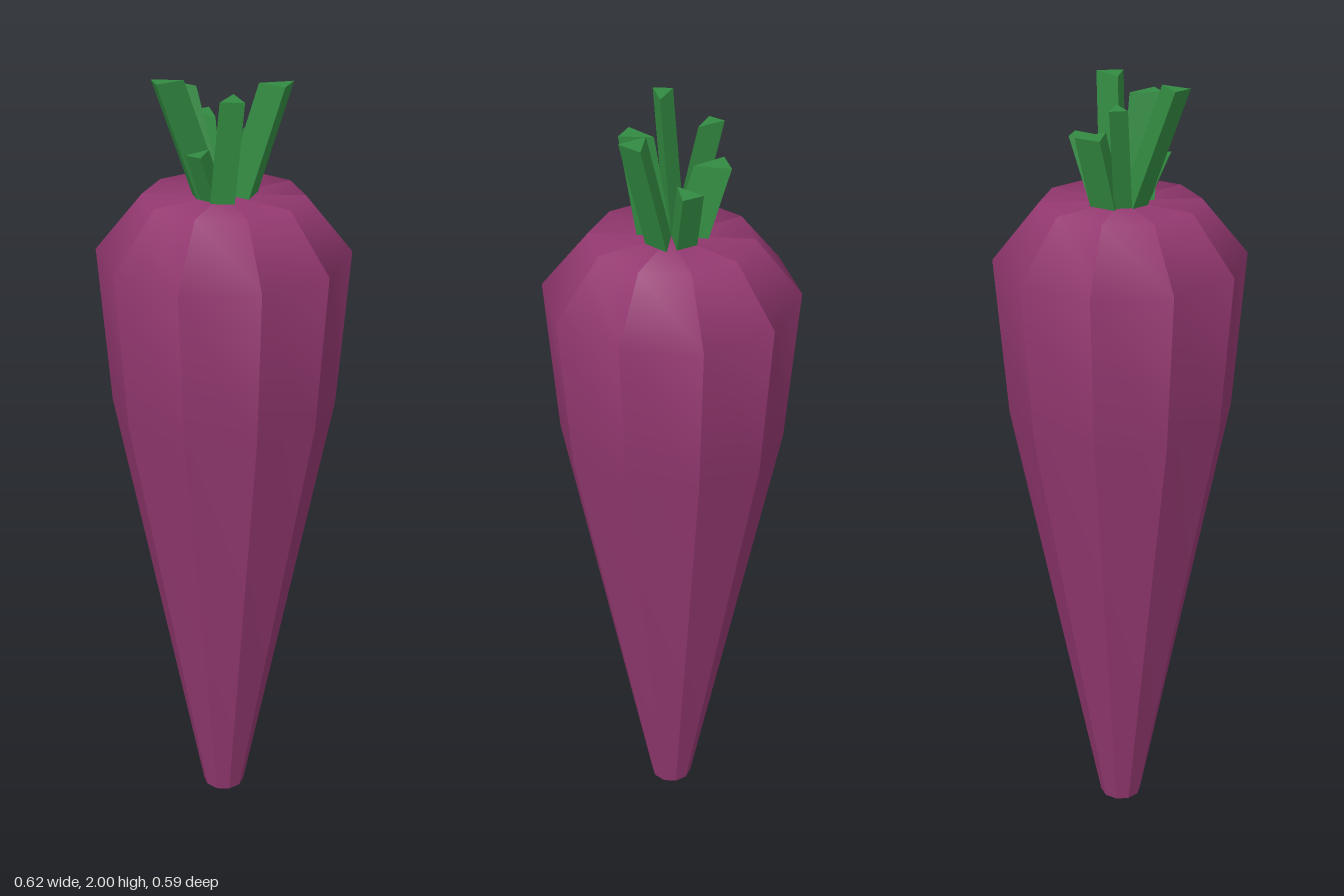
import * as THREE from 'three';
import { mergeGeometries } from 'three/addons/utils/BufferGeometryUtils.js';

const ROOT_TOP = 1.71;
const SIDES = 10;

// Ten wedges, each smooth from shoulder to tip but creased against its neighbours.
function rootGeometry() {
  // The tip ring is doubled so the flat end stays sharp.
  const profile = [[0, 0], [0.055, 0], [0.055, 0], [0.28, 1.17], [0.31, 1.57], [0.195, ROOT_TOP], [0, ROOT_TOP]]
    .map(([r, y]) => new THREE.Vector2(r, y));
  const step = (Math.PI * 2) / SIDES;
  const wedges = [];
  for (let i = 0; i < SIDES; i++) {
    const wedge = new THREE.LatheGeometry(profile, 1, Math.PI / 2 + i * step, step);
    wedge.computeVertexNormals();
    wedges.push(wedge);
  }
  return mergeGeometries(wedges);
}

// Three-sided stalk: a triangle with one corner on the axis, leaning outwards.
// a and b are the outer base corners, lean is the shift of the top, all as [x, z].
function stalkGeometry({ a, b, lean, top }) {
  const height = top - ROOT_TOP;
  const triangle = new THREE.Shape([[0, 0], a, b].map(([x, z]) => new THREE.Vector2(x, -z)));
  const geometry = new THREE.ExtrudeGeometry(triangle, { depth: height, bevelEnabled: false });
  geometry.rotateX(-Math.PI / 2);
  geometry.applyMatrix4(new THREE.Matrix4().set(
    1, lean[0] / height, 0, 0,
    0, 1, 0, ROOT_TOP,
    0, lean[1] / height, 1, 0,
    0, 0, 0, 1));
  geometry.computeVertexNormals();
  return geometry;
}

const STALKS = [
  { a: [-0.06, -0.045], b: [-0.075, 0], lean: [-0.11, 0], top: 2.0 },
  { a: [-0.055, -0.04], b: [-0.022, -0.068], lean: [-0.03, -0.07], top: 1.96 },
  { a: [-0.032, -0.08], b: [0.036, -0.08], lean: [0.01, -0.05], top: 1.885 },
  { a: [0.06, -0.047], b: [0.075, 0.005], lean: [0.055, 0], top: 1.86 },
  { a: [0.078, 0.03], b: [0.025, 0.068], lean: [0.05, 0.07], top: 1.985 },
  { a: [-0.022, 0.078], b: [-0.068, 0.043], lean: [0, 0.04], top: 1.96 },
  { a: [-0.055, 0.046], b: [-0.07, 0.006], lean: [-0.05, 0.012], top: 1.83 },
];

export function createModel() {
  const model = new THREE.Group();
  model.name = 'rootVegetable';

  const root = new THREE.Mesh(rootGeometry(), new THREE.MeshStandardMaterial({ color: 0x933870 }));
  root.name = 'root';
  model.add(root);

  // Cut leaf stalks fanning out of the crown
  const stalks = new THREE.Group();
  stalks.name = 'stalks';
  const green = new THREE.MeshStandardMaterial({ color: 0x338b42 });
  for (const spec of STALKS) {
    const stalk = new THREE.Mesh(stalkGeometry(spec), green);
    stalk.name = 'stalk';
    stalks.add(stalk);
  }
  model.add(stalks);
  return model;
}
